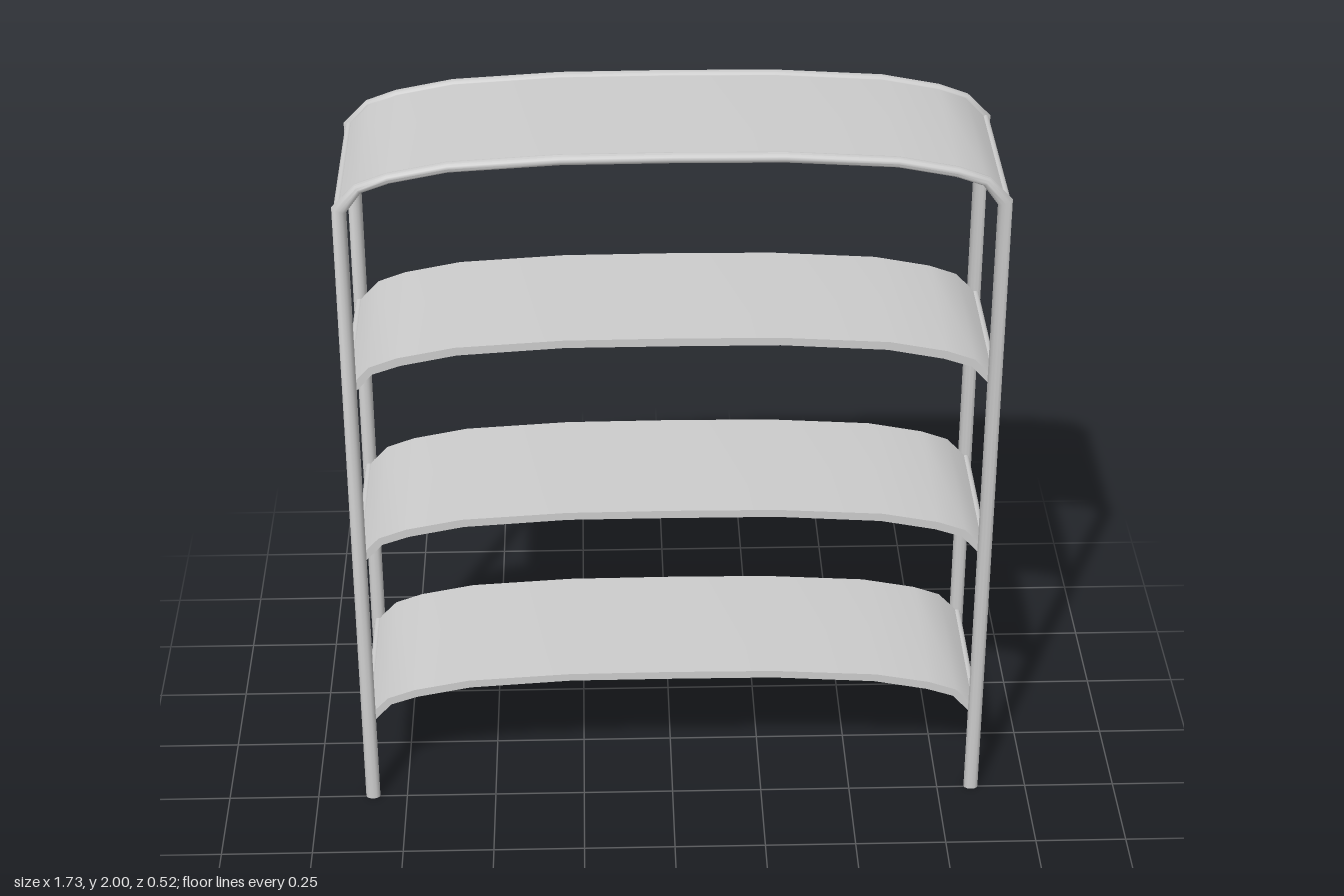
import * as THREE from 'three';
import { toCreasedNormals } from 'three/addons/utils/BufferGeometryUtils.js';

const material = new THREE.MeshStandardMaterial({ color: 0xcccccc, side: THREE.DoubleSide });

// Right half of the arch, from the post inward to the crown: x, height below the crown
const HALF_ARCH = [[0.79, -0.075], [0.715, -0.048], [0.565, -0.019], [0.283, -0.002], [0, 0]];

// Mirrors a right-hand half profile into a full one running left to right
function mirrored(half) {
  const left = half.map(([x, y]) => [-x, y]);
  return [...left, ...half.slice(0, -1).reverse()];
}

function addMesh(parent, name, geometry) {
  const mesh = new THREE.Mesh(geometry, material);
  mesh.name = name;
  parent.add(mesh);
  return mesh;
}

// Mitred tube along a path in the xy plane; width is its in-plane half thickness
function sweepTube(path, widths, depth, sides) {
  const positions = [], indices = [], count = path.length;
  const points = path.map(([x, y]) => new THREE.Vector2(x, y));
  for (let i = 0; i < count; i++) {
    const before = points[i].clone().sub(points[Math.max(i - 1, 0)]).normalize();
    const after = points[Math.min(i + 1, count - 1)].clone().sub(points[i]).normalize();
    const dir = before.add(after).normalize();
    for (let j = 0; j < sides; j++) {
      const a = (j / sides) * Math.PI * 2;
      const r = Math.cos(a) * widths[i];
      positions.push(points[i].x - dir.y * r, points[i].y + dir.x * r, Math.sin(a) * depth);
      if (i < count - 1) {
        const k = (j + 1) % sides, p = i * sides, q = p + sides;
        indices.push(p + j, q + j, p + k, p + k, q + j, q + k);
      }
    }
  }
  // Flat end caps
  const last = (count - 1) * sides;
  for (let j = 1; j < sides - 1; j++) {
    indices.push(0, j, j + 1, last, last + j + 1, last + j);
  }
  const geometry = new THREE.BufferGeometry();
  geometry.setAttribute('position', new THREE.Float32BufferAttribute(positions, 3));
  geometry.setIndex(indices);
  return toCreasedNormals(geometry, 0.9);
}

// Arched slab, extruded front to back
function shelfGeometry() {
  const top = mirrored([[0.845, -0.133], ...HALF_ARCH]);
  const under = mirrored([[0.835, -0.155], [0.782, -0.096], [0.708, -0.071],
    [0.56, -0.042], [0.28, -0.024], [0, -0.023]]).reverse();
  const shape = new THREE.Shape([...top, ...under].map(([x, y]) => new THREE.Vector2(x, y)));
  const geometry = new THREE.ExtrudeGeometry(shape, { depth: 0.474, bevelEnabled: false });
  geometry.translate(0, 0, -0.237);
  return toCreasedNormals(geometry, 0.7);
}

export function createModel() {
  const model = new THREE.Group();
  model.name = 'archedShelfUnit';

  // Bent tube frames: two posts joined by an arch
  const framePath = mirrored([[0.846, 0], [0.841, 1.852],
    ...HALF_ARCH.map(([x, y]) => [x, y + 1.986])]);
  const widths = framePath.map((p, i) =>
    i < 2 || i > framePath.length - 3 ? 0.02 : 0.0135);
  const frame = sweepTube(framePath, widths, 0.015, 12);
  addMesh(model, 'frontFrame', frame).position.z = 0.247;
  addMesh(model, 'backFrame', frame).position.z = -0.247;

  // Four arched shelves, each carried by a crossbar at both ends
  const slab = shelfGeometry();
  const bar = new THREE.CylinderGeometry(0.011, 0.011, 0.49, 12).rotateX(Math.PI / 2);
  for (let i = 0; i < 4; i++) {
    const level = new THREE.Group();
    level.name = `shelfLevel${i + 1}`;
    level.position.y = 0.404 + i * 0.529;
    addMesh(level, 'shelf', slab);
    addMesh(level, 'leftCrossbar', bar).position.set(0.844, -0.137, 0);
    addMesh(level, 'rightCrossbar', bar).position.set(-0.844, -0.137, 0);
    model.add(level);
  }
  return model;
}
